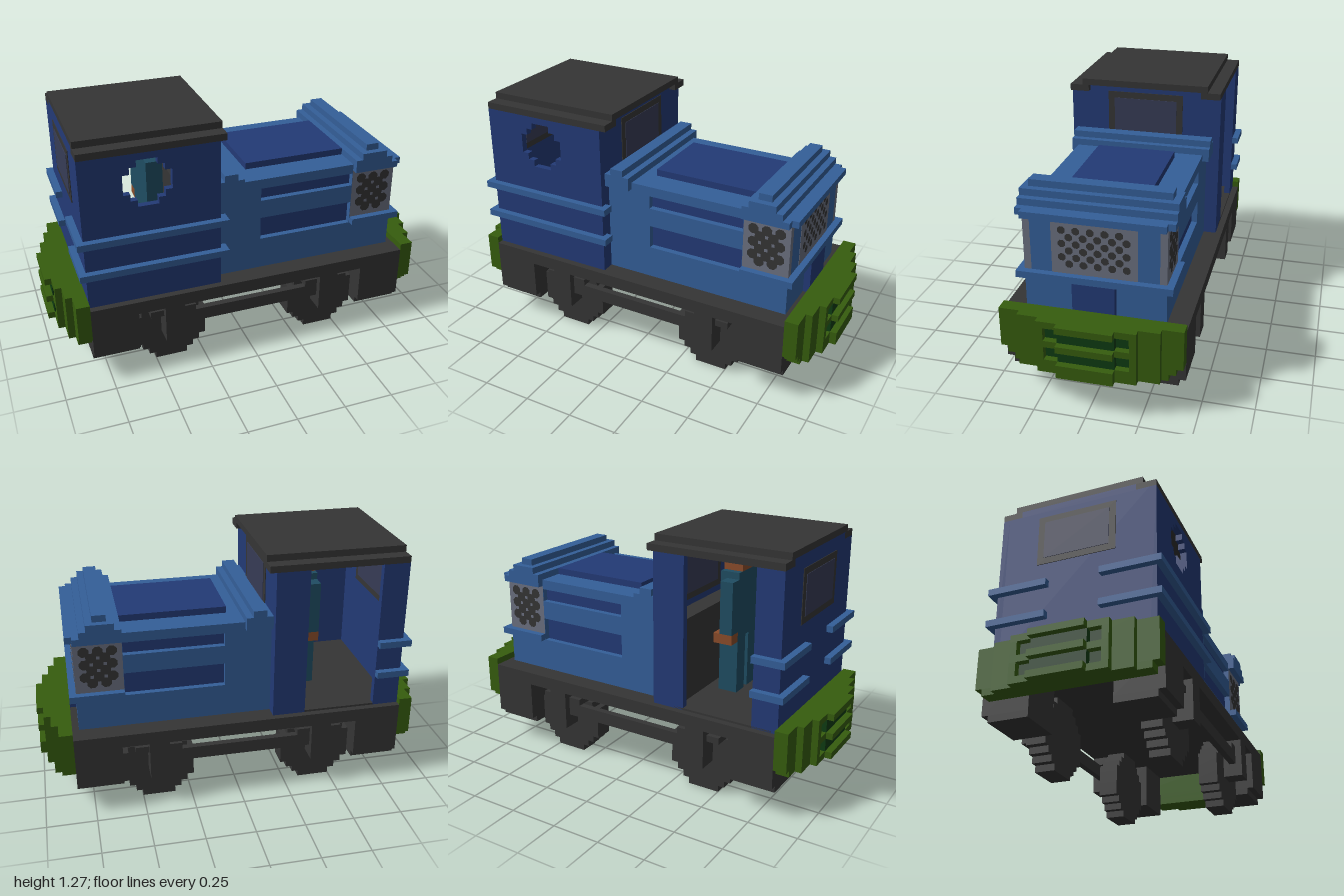
import * as THREE from 'three';

const mat = (name, color) => {
  const m = new THREE.MeshStandardMaterial({ color });
  m.name = name;
  return m;
};

export function createModel() {
  const lightBlue = mat('lightBlue', 0x345f99);
  const darkBlue = mat('darkBlue', 0x233a76);
  const charcoal = mat('charcoal', 0x353535);
  const green = mat('green', 0x365d0e);
  const darkGreen = mat('darkGreen', 0x0e3b12);
  const grey = mat('grey', 0x6b7080);
  const glass = mat('glass', 0x373c56);
  const teal = mat('teal', 0x1f4d62);
  const brown = mat('brown', 0x8a4c2a);

  // Everything is laid out on a block grid of 1/30 unit
  const model = new THREE.Group();
  model.name = 'locomotive';
  model.scale.setScalar(1 / 30);

  const add = (name, geo, material, parent = model) => {
    const mesh = new THREE.Mesh(geo, material);
    mesh.name = name;
    parent.add(mesh);
    return mesh;
  };
  // Box given by its lower and upper bounds
  const box = (name, m, x0, x1, y0, y1, z0, z1, parent) => {
    const g = new THREE.BoxGeometry(x1 - x0, y1 - y0, z1 - z0);
    g.translate((x0 + x1) / 2, (y0 + y1) / 2, (z0 + z1) / 2);
    return add(name, g, m, parent);
  };
  // The same box on both sides of the z = 0 plane
  const pair = (name, m, x0, x1, y0, y1, z0, z1, parent) => {
    box(name + 'Left', m, x0, x1, y0, y1, z0, z1, parent);
    box(name + 'Right', m, x0, x1, y0, y1, -z1, -z0, parent);
  };
  // Stepped disc outline from row widths
  const stepped = (widths, cx, y0) => {
    const right = [], left = [];
    widths.forEach((w, i) => {
      for (const y of [y0 + i, y0 + i + 1]) {
        right.push(new THREE.Vector2(cx + w / 2, y));
        left.unshift(new THREE.Vector2(cx - w / 2, y));
      }
    });
    return right.concat(left);
  };
  const rect = (x0, x1, y0, y1) =>
    [[x0, y0], [x1, y0], [x1, y1], [x0, y1]].map(p => new THREE.Vector2(...p));
  const slab = (name, m, outline, holes, z0, z1) => {
    const s = new THREE.Shape(outline);
    s.holes = holes.map(h => new THREE.Path(h));
    const g = new THREE.ExtrudeGeometry(s, { depth: z1 - z0, bevelEnabled: false });
    g.translate(0, 0, z0);
    return add(name, g, m);
  };

  // Chassis
  box('chassis', charcoal, -25, 25, 11, 13, -13, 13);
  for (const [x0, x1] of [[-25, -18], [18, 25]]) {
    pair('endBox', charcoal, x0, x1, 5, 11, 6, 13);
    pair('endBoxFoot', charcoal, x0, x1, 4, 5, 6, 12);
  }
  pair('sideBeam', charcoal, -11, 11, 7, 9, 11, 12);

  // Wheels with axle boxes
  const wheelRows = [5, 7, 9, 11, 11, 11, 11, 11, 9, 7, 5];
  for (const cx of [-12.5, 12.5]) {
    for (const z of [-10, 7]) slab('wheel', charcoal, stepped(wheelRows, cx, 0), [], z, z + 3);
    pair('axleBox', charcoal, cx - 1.5, cx + 1.5, 5, 11, 10, 13);
    pair('spring', charcoal, cx - 3.5, cx + 3.5, 9, 10, 10, 12);
  }

  // Stepped buffers, one at each end
  for (const end of [1, -1]) {
    const b = new THREE.Group();
    b.name = end > 0 ? 'frontBuffer' : 'rearBuffer';
    const low = end > 0 ? 6 : 7;
    box('bufferBase', green, 25, 27, 8, 14, -13, 13, b);
    box('bufferLowerEdge', green, 25, 27, 7, 8, -12, 12, b);
    if (end > 0) box('bufferBottom', green, 25, 27, 6, 7, -11, 11, b);
    box('bufferStep', green, 27, 28, low, 14, -10, 10, b);
    for (const [y0, y1] of [[low, 8], [10, 11], [13, 14]]) {
      box('bufferBar', green, 28, 29, y0, y1, -7, 7, b);
      box('bufferNose', green, 29, 30, y0, y1, -4, 4, b);
    }
    for (const y of [8, 11]) {
      box('slotBack', darkGreen, 27.9, 28.05, y, y + 2, -6, 6, b);
      box('slotNose', darkGreen, 28, 29, y, y + 2, -4, 4, b);
      pair('slotEnd', green, 28, 29, y, y + 2, 6, 7, b);
    }
    if (end < 0) b.rotation.y = Math.PI;
    model.add(b);
  }

  // Hood with recessed side panels
  box('hoodCore', lightBlue, -5, 24, 13, 28, -9, 9);
  const recesses = [[24.5, 26.5], [18, 21.6]];
  for (const z of [9, -10]) {
    slab('hoodSide', lightBlue, rect(-5, 17, 13, 28), recesses.map(([a, b]) => rect(2, 16.95, a, b)), z, z + 1);
  }
  for (const [a, b] of recesses) pair('sidePanel', darkBlue, 2, 17, a, b, 8.9, 9.1);
  pair('hoodNoseSide', lightBlue, 17, 24, 13, 19, 9, 10);
  box('hoodTopPanel', darkBlue, 1, 17, 28, 29, -6, 6);
  box('noseDoor', darkBlue, 24, 25, 13, 18, -3, 3);
  pair('noseBandSide', lightBlue, 17, 25, 18, 19, 10, 11);
  box('noseBand', lightBlue, 24, 25, 18, 19, -10, 10);

  // Stepped ridges over the hood
  box('frontRidgeBase', lightBlue, 17, 24, 27, 28, -11, 11);
  box('frontRidgeLip', lightBlue, 24, 25, 27, 28, -10, 10);
  box('frontRidgeLow', lightBlue, 17, 23, 28, 29, -11, 11);
  box('frontRidgeMid', lightBlue, 18, 22, 29, 30, -11, 11);
  box('frontRidgeTop', lightBlue, 19, 21, 30, 31, -10, 10);
  box('rearRidgeBase', lightBlue, -5, -1, 27, 29, -11, 11);
  box('rearRidgeTop', lightBlue, -4, -2, 29, 30, -11, 11);

  // Grilles with a checkerboard of openings
  pair('sideGrille', grey, 17, 24, 19, 27, 9, 10);
  box('noseGrille', grey, 23.9, 24.06, 19, 27, -6, 6);
  const grilleHole = (r, x, y, z, turn) => {
    const g = new THREE.CircleGeometry(r, 8, Math.PI / 8);
    const m = add('grilleHole', g, charcoal);
    m.position.set(x, y, z);
    m.rotation.y = turn;
  };
  for (let row = 0; row < 6; row++) {
    const y = 25.5 - row;
    for (let k = 0; k < 5; k++) {
      grilleHole(0.58, 24.12, y, 4.5 - (row % 2) - 2 * k, Math.PI / 2);
      if ((row + k) % 2 === 0) {
        grilleHole(0.82, 18.5 + k, y, 10.06, 0);
        grilleHole(0.82, 18.5 + k, y, -10.06, Math.PI);
      }
    }
  }

  // Cab walls: round window on one side, open doorway on the other
  slab('cabLeftWall', darkBlue, rect(-25, -5, 13, 36), [stepped([3, 5, 7, 7, 7, 5, 3], -15.5, 28)], 11, 12);
  box('doorPillarRear', darkBlue, -25, -21, 13, 36, -12, -11);
  box('doorPillarFront', darkBlue, -10, -5, 13, 36, -12, -11);
  for (const [x, front] of [[-25, false], [-6, true]]) {
    box('cabEndWall', darkBlue, x, x + 1, 13, 36, -11, 11);
    box('cabEndTop', darkBlue, x, x + 1, 36, 37, -9, 9);
    const top = front ? 36 : 35;
    box('windowFrame', charcoal, x - 0.1, x + 1.1, 27, top, -6, 6);
    box('windowGlass', glass, x - 0.18, x + 1.18, 28, top - 1, -5, 5);
  }
  box('cabFloor', charcoal, -24, -6, 13, 13.3, -12, 11);

  // Roof
  pair('roofEdge', charcoal, -25, -4, 36, 37, 9, 12);
  box('roof', charcoal, -25, -4, 37, 38, -10, 10);

  // Trim bands around the cab
  for (const y of [18, 23]) {
    box('bandLeft', lightBlue, -26, -4, y, y + 1, 12, 13);
    box('bandLeftReturn', lightBlue, -5, -4, y, y + 1, 11, 12);
    box('bandRight', lightBlue, -26, -21, y, y + 1, -13, -12);
    pair('bandRear', lightBlue, -26, -25, y, y + 1, 4, 12);
  }

  // Control desk and driver
  box('controlDesk', charcoal, -9, -6, 13, 26, -10, 10);
  pair('driverLeg', teal, -14, -11, 13, 22, 0.5, 3);
  box('driverBody', teal, -14, -11, 22, 32, -3, 3);
  pair('driverArm', teal, -14, -12, 23, 31, 3, 5);
  pair('driverHand', brown, -14, -11, 21.5, 23, 3, 5);
  box('driverHead', brown, -14, -11, 32, 34, -2, 2);

  const root = new THREE.Group();
  root.add(model);
  return root;
}
